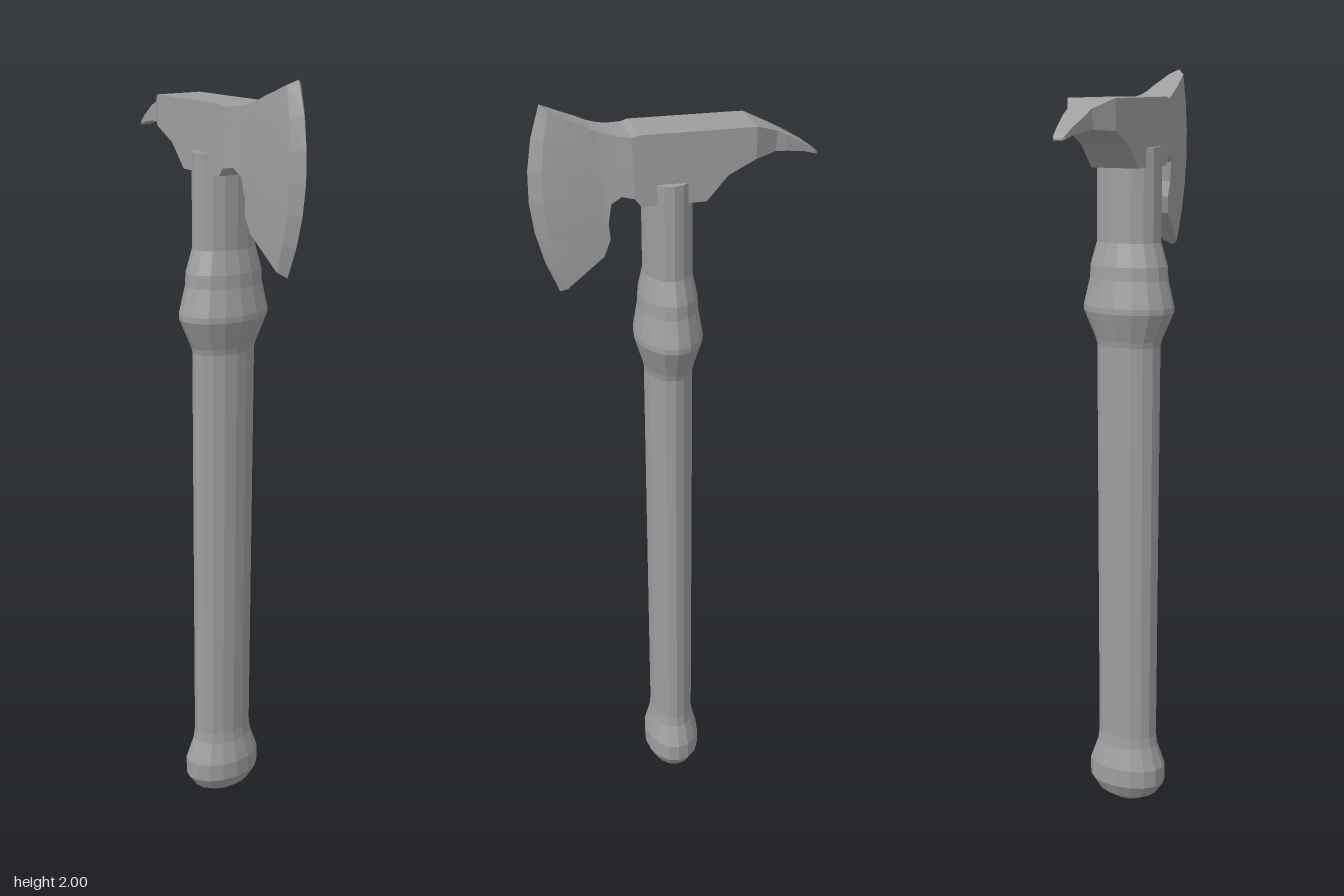
import * as THREE from 'three';

const material = new THREE.MeshStandardMaterial({ color: 0x9e9e9e, flatShading: true });

// Oval handle with pommel and collar: a lathe squashed front to back
function handle() {
  const profile = [
    [0, 0], [0.045, 0.004], [0.085, 0.025], [0.11, 0.06], [0.11, 0.11], [0.088, 0.17], [0.084, 0.2],
    [0.088, 1.3], [0.092, 1.315], [0.125, 1.39], [0.125, 1.405], [0.108, 1.475], [0.106, 1.51],
    [0.088, 1.57], [0.088, 1.81], [0, 1.81],
  ].map(([r, y]) => new THREE.Vector2(r, y));
  const geo = new THREE.LatheGeometry(profile, 16);
  const p = geo.attributes.position;
  for (let i = 0; i < p.count; i++) {
    const y = p.getY(i);
    p.setZ(i, p.getZ(i) * 0.69 + 0.01 + 0.005 * y); // slight forward lean
  }
  geo.computeVertexNormals();
  return geo;
}

// Axe head: columns lofted from the rear spike to the cutting edge
function head() {
  // top z, top y, top half width, bottom z, bottom y, bottom half width, forward bulge
  const columns = [
    [-0.352, 1.843, 0.012, -0.352, 1.838, 0.012, 0],
    [-0.345, 1.849, 0.016, -0.345, 1.84, 0.016, 0],
    [-0.318, 1.868, 0.021, -0.318, 1.849, 0.021, 0],
    [-0.27, 1.895, 0.031, -0.27, 1.857, 0.031, 0],
    [-0.245, 1.908, 0.032, -0.24, 1.859, 0.034, 0],
    [-0.185, 1.932, 0.065, -0.185, 1.855, 0.066, 0],
    [-0.117, 1.932, 0.066, -0.117, 1.82, 0.066, 0],
    [-0.064, 1.932, 0.066, -0.064, 1.76, 0.066, 0],
    [0.098, 1.932, 0.067, 0.095, 1.76, 0.068, 0],
    [0.115, 1.927, 0.067, 0.11, 1.78, 0.068, 0],
    [0.15, 1.93, 0.053, 0.14, 1.785, 0.058, 0],
    [0.175, 1.935, 0.046, 0.164, 1.765, 0.05, 0],
    [0.19, 1.94, 0.042, 0.17, 1.715, 0.045, 0.004],
    [0.205, 1.945, 0.04, 0.165, 1.675, 0.041, 0.01],
    [0.23, 1.957, 0.036, 0.18, 1.63, 0.035, 0.018],
    [0.265, 1.972, 0.029, 0.22, 1.593, 0.028, 0.026],
    [0.3, 1.988, 0.021, 0.27, 1.548, 0.02, 0.035],
    [0.318, 2.0, 0, 0.286, 1.535, 0, 0.05],
  ];
  const rows = 6, ring = 2 * (rows + 1), pos = [], index = [];
  for (const [zt, yt, wt, zb, yb, wb, bulge] of columns) {
    for (let j = 0; j < ring; j++) {
      const t = (j <= rows ? j : ring - 1 - j) / rows;
      const swell = bulge * 4 * t * (1 - t);
      const w = (wt + (wb - wt) * t) * (1 + 4 * swell); // blade is thickest mid-height
      pos.push(j <= rows ? w : -w, yt + (yb - yt) * t, zt + (zb - zt) * t + swell);
    }
  }
  for (let i = 0; i < columns.length - 1; i++) {
    for (let j = 0; j < ring; j++) {
      const k = (j + 1) % ring;
      const a = i * ring + j, b = i * ring + k, c = a + ring, d = b + ring;
      index.push(a, c, b, c, d, b);
    }
  }
  for (let j = 1; j < ring - 1; j++) index.push(0, j, j + 1); // blunt spike tip
  const geo = new THREE.BufferGeometry();
  geo.setAttribute('position', new THREE.Float32BufferAttribute(pos, 3));
  geo.setIndex(index);
  const flat = geo.toNonIndexed();
  flat.computeVertexNormals();
  return flat;
}

export function createModel() {
  const group = new THREE.Group();
  group.name = 'axe';
  for (const [name, geo] of [['handle', handle()], ['axeHead', head()]]) {
    const mesh = new THREE.Mesh(geo, material);
    mesh.name = name;
    group.add(mesh);
  }
  return group;
}
